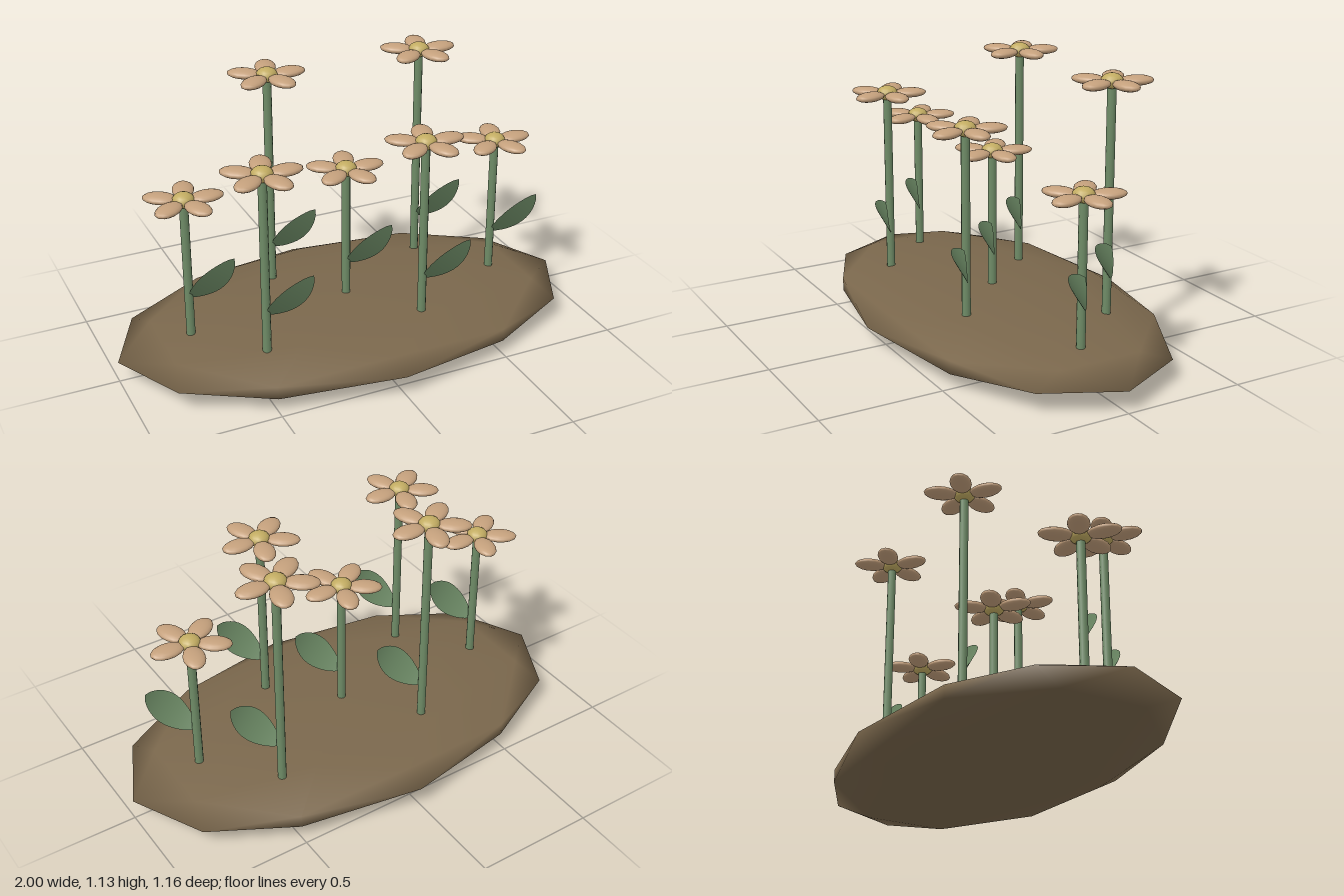
import * as THREE from 'three';

const flat = (name, color, side = THREE.FrontSide) => {
  const m = new THREE.MeshStandardMaterial({ color, side });
  m.name = name;
  return m;
};

// Leaf: a bent blade swept from cross-sections along a curved midrib
function leafGeometry(rows = 14, cols = 4) {
  const pos = [], index = [];
  for (let i = 0; i <= rows; i++) {
    const t = i / rows;
    const w = Math.pow(Math.max(Math.sin(Math.PI * t), 0), 0.7);
    for (let j = 0; j <= cols; j++) {
      const s = (j / cols * 2 - 1) * w;
      pos.push(0.165 * t + 0.045 * s, 0.315 + 0.185 * t - 0.042 * s, 0.2 * t - 0.105 * t * t - 0.012 * s);
      if (i < rows && j < cols) {
        const a = i * (cols + 1) + j, b = a + cols + 1;
        index.push(a, a + 1, b, a + 1, b + 1, b);
      }
    }
  }
  const g = new THREE.BufferGeometry();
  g.setAttribute('position', new THREE.Float32BufferAttribute(pos, 3));
  g.setIndex(index);
  g.computeVertexNormals();
  return g;
}

export function createModel() {
  const root = new THREE.Group();
  root.name = 'flowerBed';
  const soil = flat('soil brown', 0x7a674c);
  const green = flat('stem green', 0x6f8c67);
  const leafGreen = flat('leaf green', 0x6a8763, THREE.DoubleSide);
  const peach = flat('petal peach', 0xc4a07c);
  const yellow = flat('centre yellow', 0xc2ac62);

  const add = (parent, name, geo, mat, x = 0, y = 0, z = 0) => {
    const m = new THREE.Mesh(geo, mat);
    m.name = name;
    m.position.set(x, y, z);
    parent.add(m);
    return m;
  };

  // Flattened mound of earth
  const mound = new THREE.IcosahedronGeometry(1, 1).scale(1, 0.088, 0.578);
  add(root, 'mound', mound, soil, 0, 0.088, 0);

  const petalGeo = new THREE.SphereGeometry(1, 14, 10).scale(0.07, 0.02, 0.044).translate(0.096, 0, 0);
  const centreGeo = new THREE.SphereGeometry(1, 14, 10).scale(0.044, 0.031, 0.044);
  const leafGeo = leafGeometry();

  // Seven flowers in a staggered row, with three repeating heights
  for (let i = 0; i < 7; i++) {
    const flower = new THREE.Group();
    flower.name = 'flower';
    flower.position.set((i - 3) * 0.23, 0, 0.295 * Math.sin(i * 2.1));
    root.add(flower);

    const top = 0.747 + (i % 3) * 0.175, base = 0.11;
    const stemGeo = new THREE.CylinderGeometry(0.018, 0.018, top - base, 10);
    add(flower, 'stem', stemGeo, green, 0, (top + base) / 2, 0);
    add(flower, 'leaf', leafGeo, leafGreen);
    add(flower, 'flowerCentre', centreGeo, yellow, 0, top + 0.002, 0);
    for (let p = 0; p < 5; p++) {
      add(flower, 'petal', petalGeo, peach, 0, top, 0).rotation.y = p * Math.PI * 2 / 5;
    }
  }
  return root;
}
